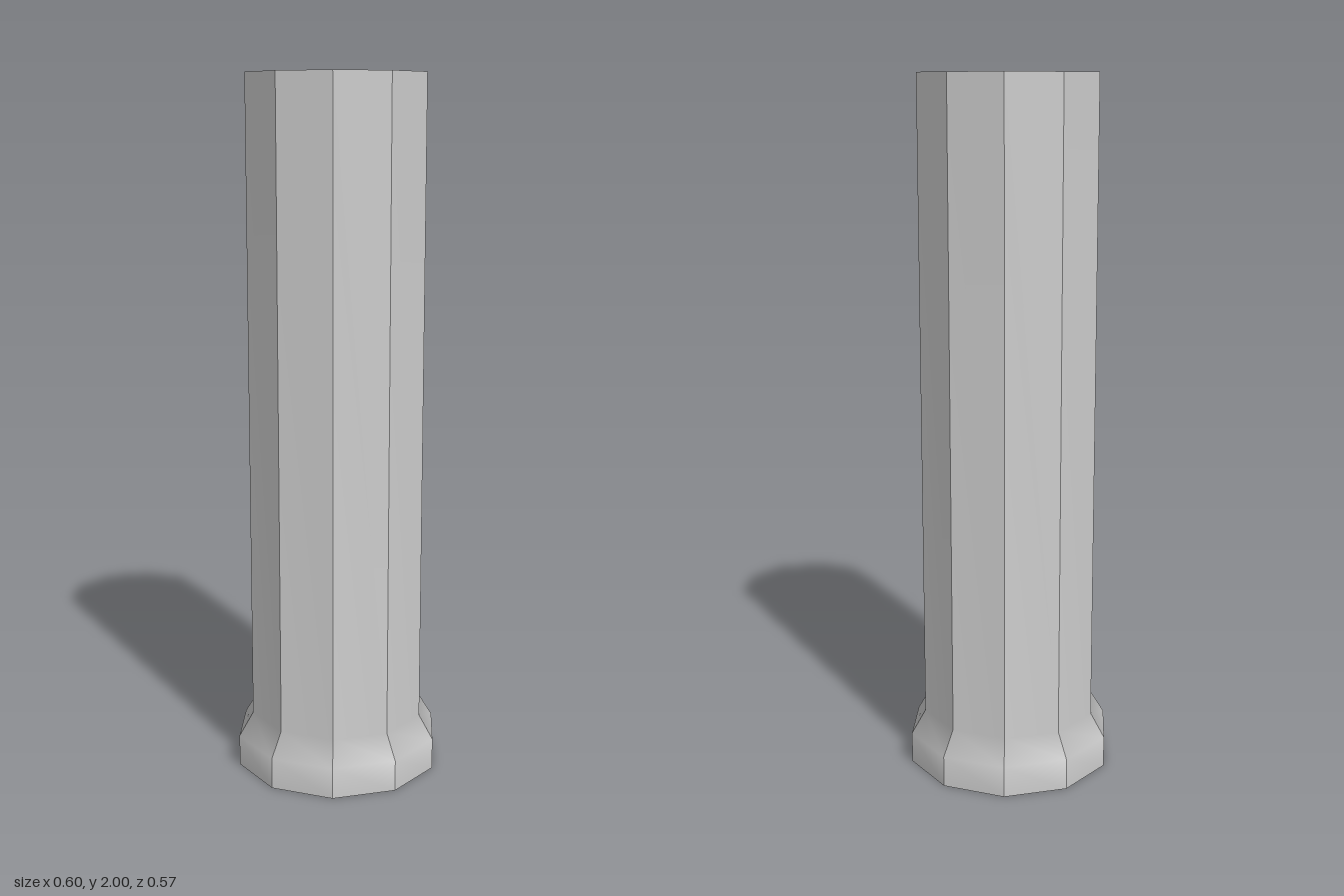
import * as THREE from 'three';
import { mergeGeometries } from 'three/addons/utils/BufferGeometryUtils.js';

const SIDES = 10;
const BASE_R = 0.3, SHAFT_R = 0.258, BORE_R = 0.22;
const TOP = 2, FLOOR = 1.94;

// Ten-sided wall: every side is its own strip, so vertical edges stay sharp
// while the profile shades smoothly from bottom to top.
function facetedWall(profile) {
  const points = profile.map(([r, y]) => new THREE.Vector2(r, y));
  const step = (Math.PI * 2) / SIDES;
  const strips = [];
  for (let i = 0; i < SIDES; i++) {
    const strip = new THREE.LatheGeometry(points, 1, Math.PI / 2 + i * step, step);
    strip.computeVertexNormals();
    strips.push(strip);
  }
  return mergeGeometries(strips);
}

// Turns a flat shape to face up or down at a given height.
function level(geometry, y, up = true) {
  return geometry.rotateX(up ? -Math.PI / 2 : Math.PI / 2).translate(0, y, 0);
}

export function createModel() {
  const group = new THREE.Group();
  group.name = 'column';
  const material = new THREE.MeshStandardMaterial({ color: 0xcccccc });
  const add = (name, geometry) => {
    const mesh = new THREE.Mesh(geometry, material);
    mesh.name = name;
    group.add(mesh);
  };

  // Flared foot running into the straight shaft
  add('shaftAndFoot', facetedWall([[BASE_R, 0], [BASE_R, 0.09], [SHAFT_R, 0.16], [SHAFT_R, TOP]]));
  add('underside', level(new THREE.CircleGeometry(BASE_R, SIDES), 0, false));

  // Flat rim around a shallow recess
  add('rim', level(new THREE.RingGeometry(BORE_R, SHAFT_R, SIDES), TOP));
  add('recessWall', facetedWall([[BORE_R, TOP], [BORE_R, FLOOR]]));
  add('recessFloor', level(new THREE.CircleGeometry(BORE_R, SIDES), FLOOR));

  return group;
}
